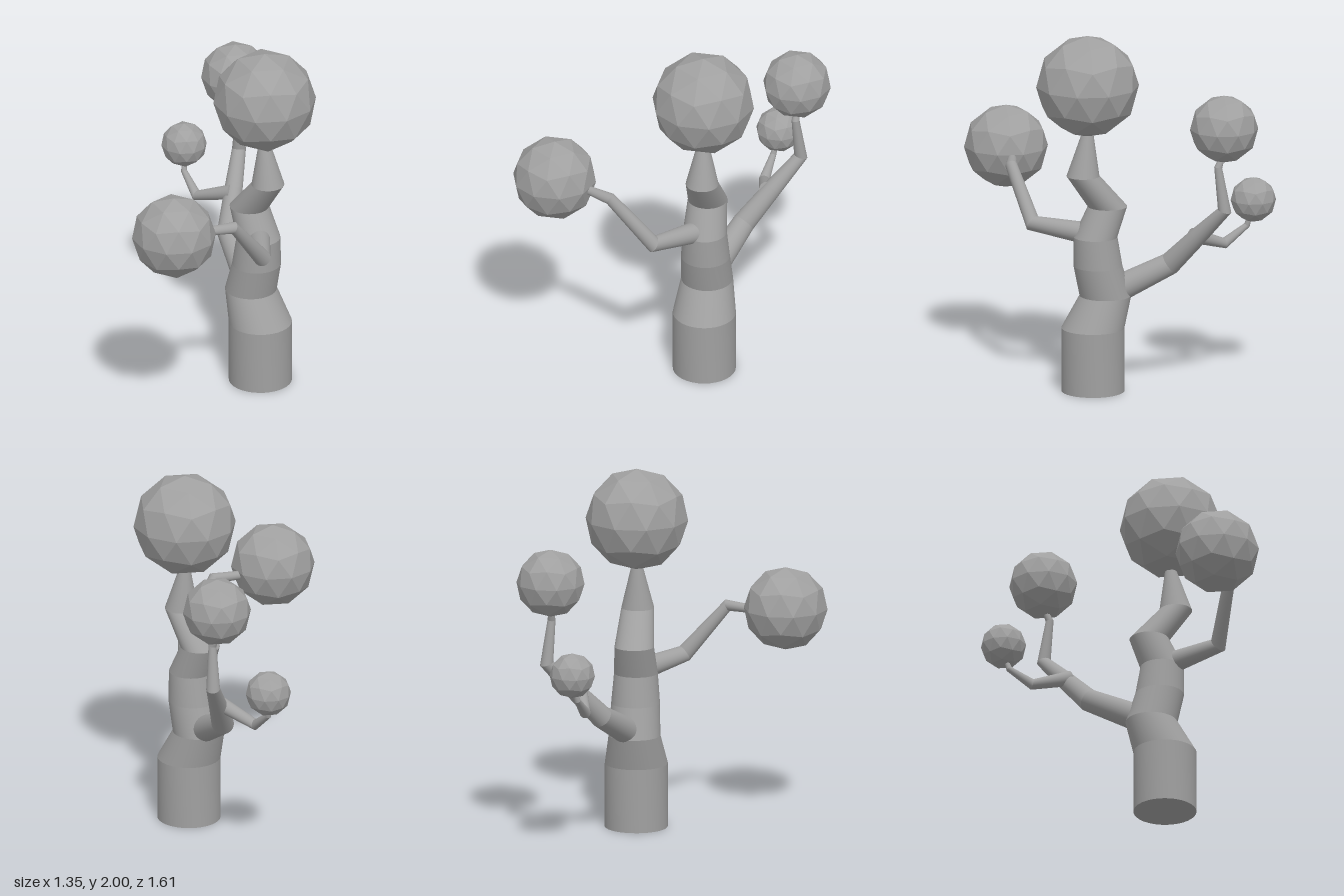
import * as THREE from 'three';

const SIDES = 32;
const UP = new THREE.Vector3(0, 1, 0);

// Tapered limb through nodes [x, y, z, radius], with a hard crease at each node.
function limbGeometry(nodes, level = false) {
  const pts = nodes.map(([x, y, z]) => new THREE.Vector3(x, y, z));
  const dirs = pts.slice(1).map((p, i) => p.clone().sub(pts[i]).normalize());
  const rings = pts.map((p, i) => {
    const n = new THREE.Vector3();
    if (level) n.copy(UP);
    else {
      if (i > 0) n.add(dirs[i - 1]);
      if (i < dirs.length) n.add(dirs[i]);
      n.normalize();
    }
    const q = new THREE.Quaternion().setFromUnitVectors(UP, n);
    const r = nodes[i][3];
    return Array.from({ length: SIDES }, (_, k) => {
      const a = (k / SIDES) * Math.PI * 2;
      return new THREE.Vector3(Math.sin(a) * r, 0, Math.cos(a) * r).applyQuaternion(q).add(p);
    });
  });

  const position = [];
  const index = [];
  const add = (points) => {
    const base = position.length / 3;
    points.forEach((v) => position.push(v.x, v.y, v.z));
    return base;
  };
  // Side walls, each segment with its own vertices
  for (let s = 0; s < rings.length - 1; s++) {
    const a = add(rings[s]);
    const b = add(rings[s + 1]);
    for (let k = 0; k < SIDES; k++) {
      const m = (k + 1) % SIDES;
      index.push(a + k, a + m, b + k, a + m, b + m, b + k);
    }
  }
  // End caps
  const last = rings.length - 1;
  const bottom = add([pts[0], ...rings[0]]);
  const top = add([pts[last], ...rings[last]]);
  for (let k = 0; k < SIDES; k++) {
    const m = (k + 1) % SIDES;
    index.push(bottom, bottom + 1 + m, bottom + 1 + k);
    index.push(top, top + 1 + k, top + 1 + m);
  }
  const g = new THREE.BufferGeometry();
  g.setAttribute('position', new THREE.Float32BufferAttribute(position, 3));
  g.setIndex(index);
  g.computeVertexNormals();
  return g;
}

// Faceted ball with a vertex at its pole and an upper-ring vertex towards +x.
function foliageGeometry(radius) {
  const g = new THREE.IcosahedronGeometry(radius, 1);
  g.rotateX(-Math.atan((1 + Math.sqrt(5)) / 2));
  g.rotateY(Math.PI / 2);
  g.computeVertexNormals();
  return g;
}

export function createModel() {
  const group = new THREE.Group();
  group.name = 'tree';
  const grey = new THREE.MeshStandardMaterial({ color: 0xa0a0a0 });
  grey.name = 'grey';

  const addMesh = (name, geometry) => {
    const mesh = new THREE.Mesh(geometry, grey);
    mesh.name = name;
    group.add(mesh);
    return mesh;
  };

  // Trunk with level joints
  addMesh('trunk', limbGeometry([
    [0.295, 0, -0.227, 0.173],
    [0.295, 0.355, -0.227, 0.173],
    [0.22, 0.53, -0.227, 0.142],
    [0.265, 0.7, -0.227, 0.134],
    [0.28, 0.865, -0.227, 0.12],
    [0.208, 1.03, -0.227, 0.108],
    [0.355, 1.215, -0.227, 0.09],
    [0.322, 1.5, -0.227, 0.02],
  ], true));

  // Branches
  addMesh('frontBranch', limbGeometry([
    [0.28, 0.875, -0.227, 0.064],
    [0.552, 0.917, 0.005, 0.047],
    [0.573, 1.19, 0.24, 0.033],
    [0.49, 1.19, 0.41, 0.022],
  ]));
  addMesh('rightBranch', limbGeometry([
    [0.22, 0.53, -0.227, 0.078],
    [-0.105, 0.705, -0.365, 0.062],
    [-0.21, 0.88, -0.505, 0.05],
    [-0.308, 1.045, -0.64, 0.038],
    [-0.28, 1.285, -0.617, 0.022],
    [-0.31, 1.35, -0.615, 0.014],
  ]));
  addMesh('rightTwig', limbGeometry([
    [-0.19, 0.88, -0.475, 0.042],
    [-0.41, 0.8, -0.415, 0.03],
    [-0.533, 0.895, -0.44, 0.017],
    [-0.55, 0.96, -0.455, 0.012],
  ]));

  // Foliage balls: name, x, y, z, radius
  [
    ['topFoliage', 0.328, 1.718, -0.228, 0.283],
    ['frontFoliage', 0.453, 1.212, 0.576, 0.231],
    ['rightFoliage', -0.315, 1.499, -0.618, 0.188],
    ['smallFoliage', -0.56, 1.042, -0.465, 0.125],
  ].forEach(([name, x, y, z, r]) => addMesh(name, foliageGeometry(r)).position.set(x, y, z));

  return group;
}
